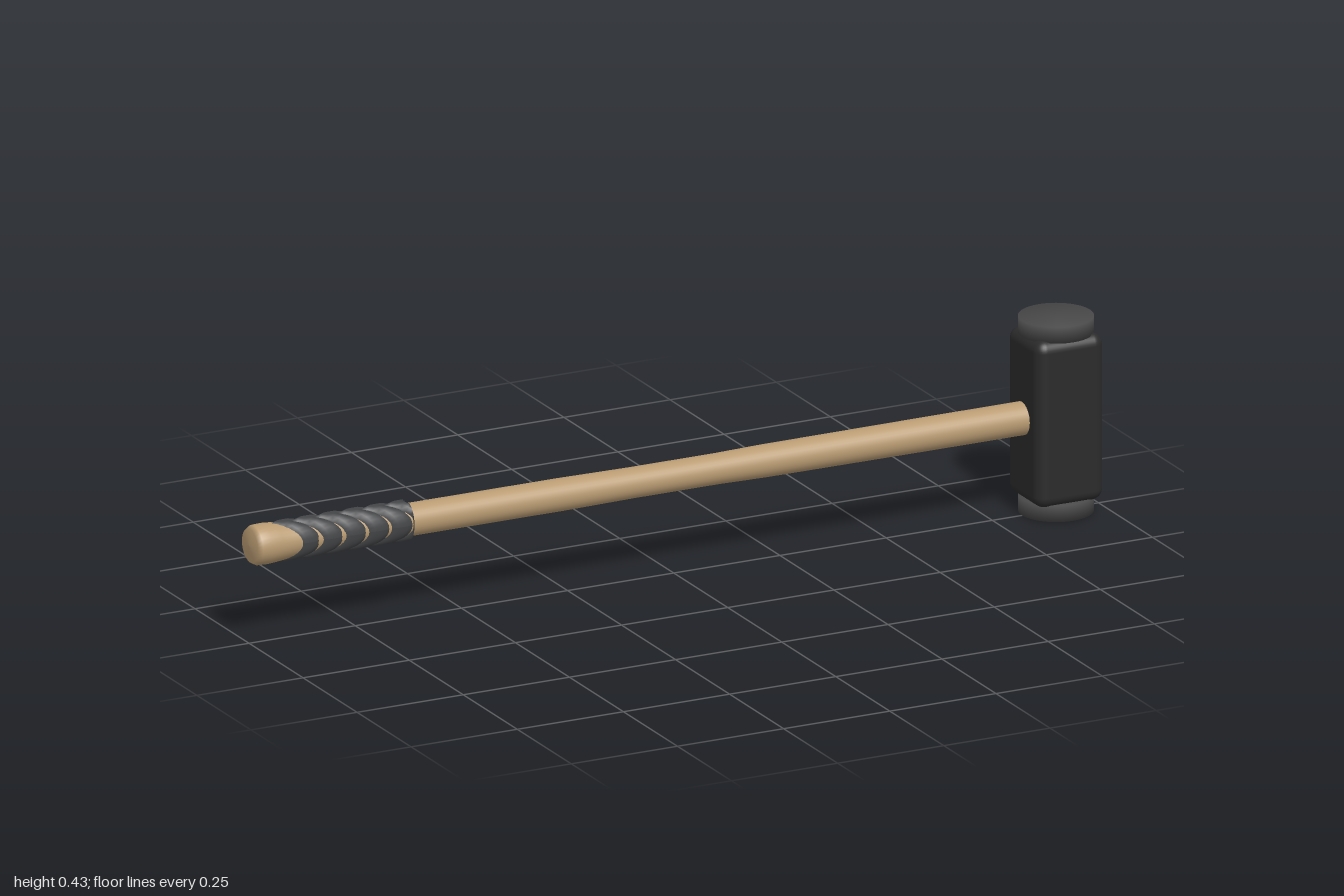
import * as THREE from 'three';
import { RoundedBoxGeometry } from 'three/addons/geometries/RoundedBoxGeometry.js';

const AXIS_Y = 0.216;

function material(name, color) {
  const m = new THREE.MeshStandardMaterial({ color });
  m.name = name;
  return m;
}

const lathe = (pairs, sides) =>
  new THREE.LatheGeometry(pairs.map(([r, y]) => new THREE.Vector2(r, y)), sides);

// One rounded band of wrapping, swept back into a chevron on its front and back
function wrapBand(x0, xEnd) {
  const profile = [[0.034, 0], [0.041, 0.006], [0.045, 0.02], [0.045, 0.038], [0.041, 0.054], [0.034, 0.06]];
  const g = lathe(profile, 32);
  g.rotateZ(-Math.PI / 2);
  const p = g.attributes.position;
  for (let i = 0; i < p.count; i++) {
    const y = p.getY(i), z = p.getZ(i);
    const side = Math.abs(z) / Math.hypot(y, z);
    const x = x0 + p.getX(i) + 0.055 * side;
    p.setXYZ(i, Math.min(x, xEnd), y, z * 0.86);
  }
  g.computeVertexNormals();
  return g;
}

export function createModel() {
  const model = new THREE.Group();
  model.name = 'sledgehammer';
  const wood = material('wood', 0xb99b72);
  const iron = material('dark iron', 0x2b2b2b);
  const steel = material('face steel', 0x484848);
  const rubber = material('grip wrap', 0x434446);

  const add = (name, geometry, mat, x, y, parent = model) => {
    const mesh = new THREE.Mesh(geometry, mat);
    mesh.name = name;
    mesh.position.set(x, y, 0);
    parent.add(mesh);
    return mesh;
  };

  // Handle with a flared butt and a slightly slimmer middle
  const shaft = lathe([
    [0, -1], [0.037, -0.998], [0.043, -0.988], [0.044, -0.965], [0.042, -0.94], [0.036, -0.88],
    [0.035, -0.6], [0.035, -0.27], [0.033, -0.1], [0.033, 0.1], [0.035, 0.21], [0.036, 0.6], [0.036, 0.96],
  ], 32);
  shaft.rotateZ(-Math.PI / 2);
  add('handle', shaft, wood, 0, AXIS_Y);

  // Domed handle end showing through the head
  const dome = lathe([[0.041, 0.97], [0.041, 0.98], [0.036, 0.988], [0.026, 0.994], [0.013, 0.999], [0, 1]], 32);
  dome.rotateZ(-Math.PI / 2);
  add('handleEnd', dome, wood, 0, AXIS_Y);

  // Grip wrapping
  const grip = new THREE.Group();
  grip.name = 'grip';
  model.add(grip);
  for (let i = 0; i < 6; i++) add('gripBand', wrapBand(-0.96 + i * 0.0545, -0.63), rubber, 0, AXIS_Y, grip);

  // Head block and its two striking faces
  add('head', new RoundedBoxGeometry(0.16, 0.37, 0.15, 4, 0.025), iron, 0.9, AXIS_Y);
  for (const [name, y] of [['lowerFace', 0], ['upperFace', 0.396]]) {
    add(name, lathe([[0, 0], [0.08, 0], [0.08, 0.036], [0, 0.036]], 40), steel, 0.9, y);
  }
  return model;
}
